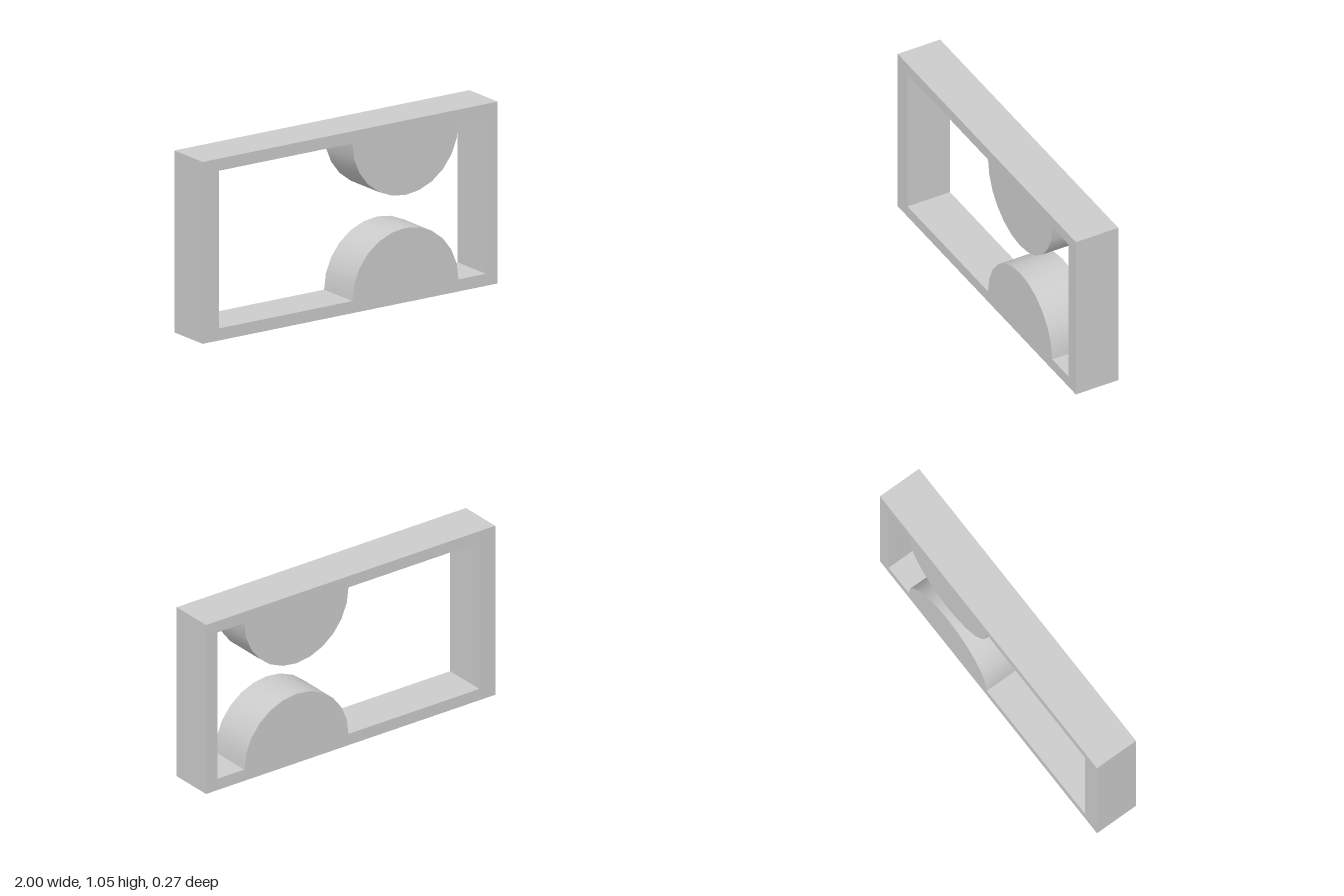
import * as THREE from 'three';
import { toCreasedNormals } from 'three/addons/utils/BufferGeometryUtils.js';

const HEIGHT = 1.05, DEPTH = 0.27;
const LEFT = 0.92, RIGHT = -0.89, FLOOR = 0.07, CEILING = 0.98;
const BUMP_X = 0.375, BUMP_RADIUS = 0.36;

export function createModel() {
  const group = new THREE.Group();
  group.name = 'frameWithBumps';

  // Outer rectangle
  const outline = new THREE.Shape();
  outline.moveTo(-1, 0);
  outline.lineTo(1, 0);
  outline.lineTo(1, HEIGHT);
  outline.lineTo(-1, HEIGHT);
  outline.closePath();

  // Opening, narrowed by a half-round bump on the floor and on the ceiling
  const opening = new THREE.Path();
  opening.moveTo(RIGHT, FLOOR);
  opening.lineTo(BUMP_X - BUMP_RADIUS, FLOOR);
  opening.absarc(BUMP_X, FLOOR, BUMP_RADIUS, Math.PI, 0, true);
  opening.lineTo(LEFT, FLOOR);
  opening.lineTo(LEFT, CEILING);
  opening.lineTo(BUMP_X + BUMP_RADIUS, CEILING);
  opening.absarc(BUMP_X, CEILING, BUMP_RADIUS, 0, Math.PI, true);
  opening.lineTo(RIGHT, CEILING);
  opening.closePath();
  outline.holes.push(opening);

  // One solid; bumps shade smoothly, all other edges stay sharp
  const solid = new THREE.ExtrudeGeometry(outline, { depth: DEPTH, bevelEnabled: false, curveSegments: 6 });
  solid.translate(0, 0, -DEPTH / 2);
  const frame = new THREE.Mesh(toCreasedNormals(solid, 0.5), new THREE.MeshStandardMaterial({ color: 0xcccccc }));
  frame.name = 'frame';
  group.add(frame);

  return group;
}
